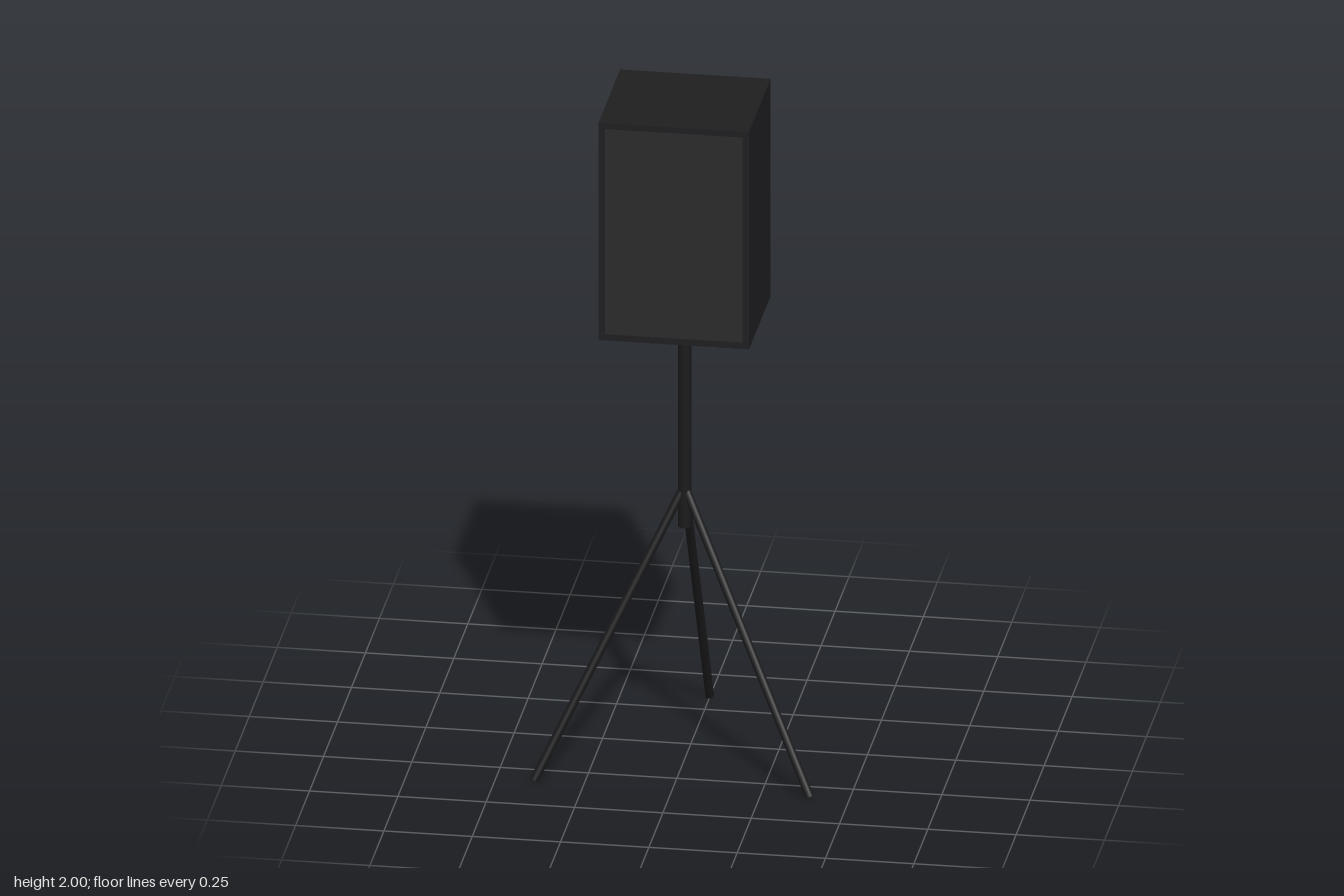
import * as THREE from 'three';

const AXIS_Z = 0.112; // depth of the pole and tripod centre

function rod(name, from, to, radius, sides, material) {
  const dir = to.clone().sub(from);
  const mesh = new THREE.Mesh(new THREE.CylinderGeometry(radius, radius, dir.length(), sides), material);
  mesh.position.copy(from).add(to).multiplyScalar(0.5);
  mesh.quaternion.setFromUnitVectors(new THREE.Vector3(0, 1, 0), dir.normalize());
  mesh.name = name;
  return mesh;
}

function rect(Type, w, h) {
  return new Type([[-w, -h], [w, -h], [w, h], [-w, h]].map(([x, y]) => new THREE.Vector2(x / 2, y / 2)));
}

export function createModel() {
  const model = new THREE.Group();
  model.name = 'speakerOnStand';
  const cabinetMat = new THREE.MeshStandardMaterial({ color: 0x1e1e20 });
  const grilleMat = new THREE.MeshStandardMaterial({ color: 0x2a2a2c });
  const standMat = new THREE.MeshStandardMaterial({ color: 0x1a1a1c });

  // Cabinet: closed box body with a shallow frame around the front
  const w = 0.426, h = 0.66, d = 0.386, lip = 0.008, border = 0.018;
  const cabinet = new THREE.Group();
  cabinet.name = 'cabinet';
  cabinet.position.set(0, 1.67, AXIS_Z);

  const body = new THREE.Mesh(new THREE.BoxGeometry(w, h, d - lip), cabinetMat);
  body.name = 'cabinetBody';
  body.position.z = -lip / 2;

  const frameShape = rect(THREE.Shape, w, h);
  frameShape.holes.push(rect(THREE.Path, w - 2 * border, h - 2 * border));
  const frame = new THREE.Mesh(
    new THREE.ExtrudeGeometry(frameShape, { depth: lip, bevelEnabled: false }), cabinetMat);
  frame.name = 'frontFrame';
  frame.position.z = d / 2 - lip;

  // Grille set just behind the frame's face
  const grille = new THREE.Mesh(
    new THREE.BoxGeometry(w - 2 * border, h - 2 * border, 0.004), grilleMat);
  grille.name = 'grille';
  grille.position.z = d / 2 - lip + 0.002;
  cabinet.add(body, frame, grille);
  model.add(cabinet);

  // Pole
  model.add(rod('pole', new THREE.Vector3(0, 0.71, AXIS_Z), new THREE.Vector3(0, 1.345, AXIS_Z), 0.019, 16, standMat));

  // Three splayed legs, one pointing straight back
  const top = new THREE.Vector3(0, 0.832, AXIS_Z);
  ['backLeg', 'leftLeg', 'rightLeg'].forEach((name, i) => {
    const a = Math.PI + i * Math.PI * 2 / 3 * -1;
    const foot = new THREE.Vector3(Math.sin(a) * 0.45, 0.006, AXIS_Z + Math.cos(a) * 0.45);
    model.add(rod(name, foot, top, 0.0125, 12, standMat));
  });

  return model;
}
